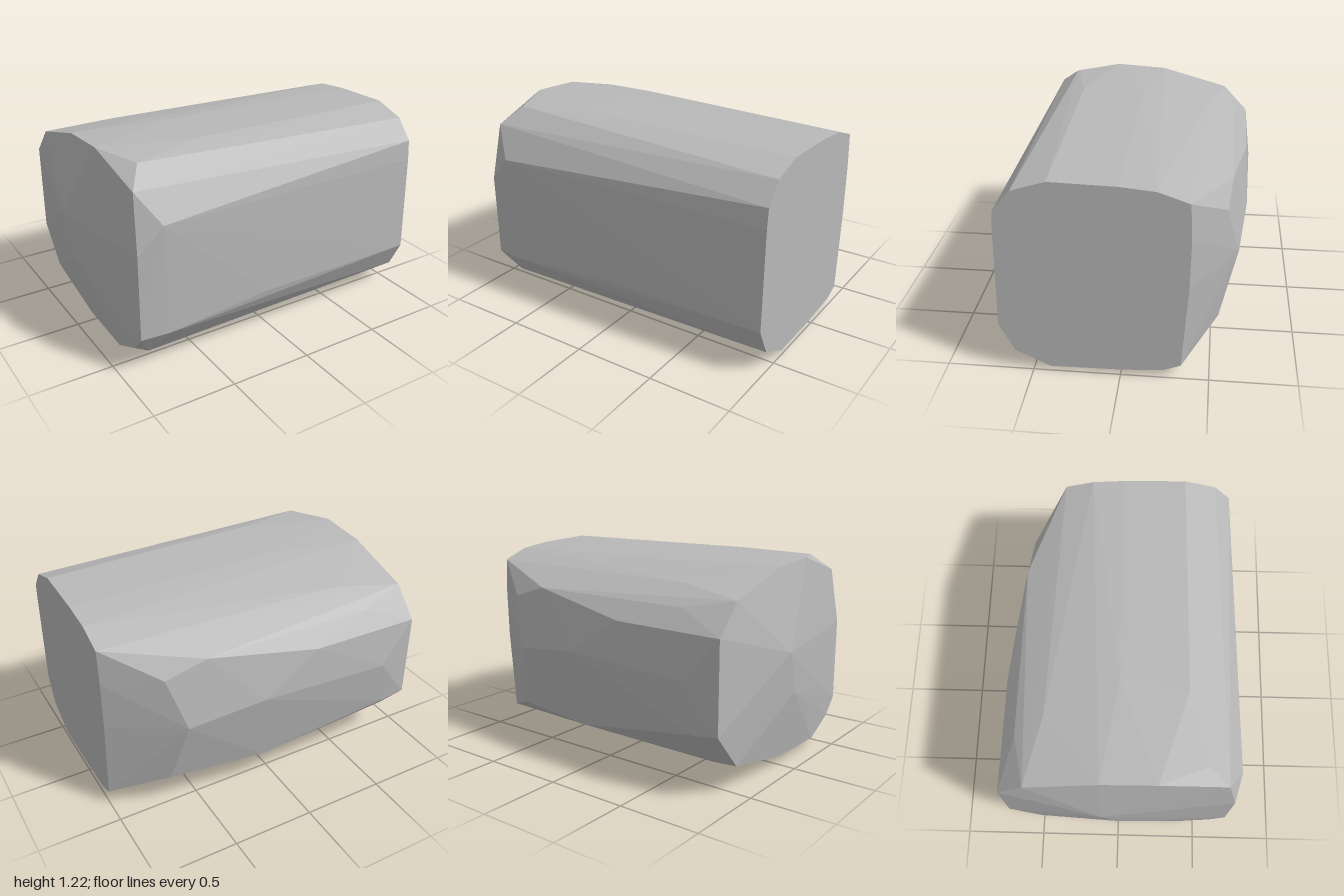
import * as THREE from 'three';
import { ConvexGeometry } from 'three/addons/geometries/ConvexGeometry.js';

export function createModel() {
  const group = new THREE.Group();
  group.name = 'hewnBlock';
  const grey = new THREE.MeshStandardMaterial({ color: 0xb8b8b8 });
  grey.name = 'stone grey';
  const points = [];
  const add = (list) => list.forEach(([x, y, z]) => points.push(new THREE.Vector3(x, y, z)));
  const section = (x, list) => add(list.map(([z, y]) => [x, y, z]));

  // Flat cut end, as (z, y)
  section(1, [[0.37, 1.2], [0, 1.19], [-0.2, 1.17], [-0.37, 1.11], [-0.38, 0.9], [-0.375, 0.6],
    [-0.34, 0.09], [-0.24, 0.05], [0, 0.035], [0.4, 0.03], [0.6, 0.13], [0.685, 0.3],
    [0.67, 0.9], [0.66, 1.02], [0.56, 1.14]]);

  // Rim of the blunt end, as (z, y)
  section(-0.905, [[0.22, 1.22], [-0.1, 1.2], [-0.53, 1.08], [-0.69, 0.91], [-0.69, 0.38],
    [-0.5, 0.16], [0, 0.06], [0.4, 0.05], [0.6, 0.15], [0.69, 0.25], [0.69, 0.76]]);

  // Low peak of the blunt end
  add([[-1, 0.73, -0.1], [-0.98, 0.47, 0]]);

  // Shoulders behind the rim, front and top
  add([[-0.88, 1.1, 0.62], [-0.76, 0.92, 0.717], [-0.74, 0.25, 0.705], [-0.82, 0.1, 0.6],
    [-0.08, 0.31, 0.705], [-0.79, 1.2, 0.5], [-0.37, 1.22, 0.39], [-0.3, 1.21, 0]]);

  // Underside
  add([[-0.7, 0, 0.37], [-0.55, 0.005, 0.2], [-0.7, 0.03, 0.46], [-0.7, 0.11, -0.42]]);

  // Bulging back and the corners of its slanted cut
  add([[-0.69, 0.66, -0.72], [0.13, 0.68, -0.69], [-0.22, 0.91, -0.68], [-0.6, 1.02, -0.6],
    [0.45, 1.01, -0.59], [-0.5, 1.12, -0.43], [0.6, 0.62, -0.64], [0.7, 0.93, -0.565],
    [0.68, 0.22, -0.54], [0.1, 0.21, -0.61], [-0.75, 0.36, -0.69]]);

  const block = new THREE.Mesh(new ConvexGeometry(points), grey);
  block.name = 'block';
  group.add(block);
  return group;
}
